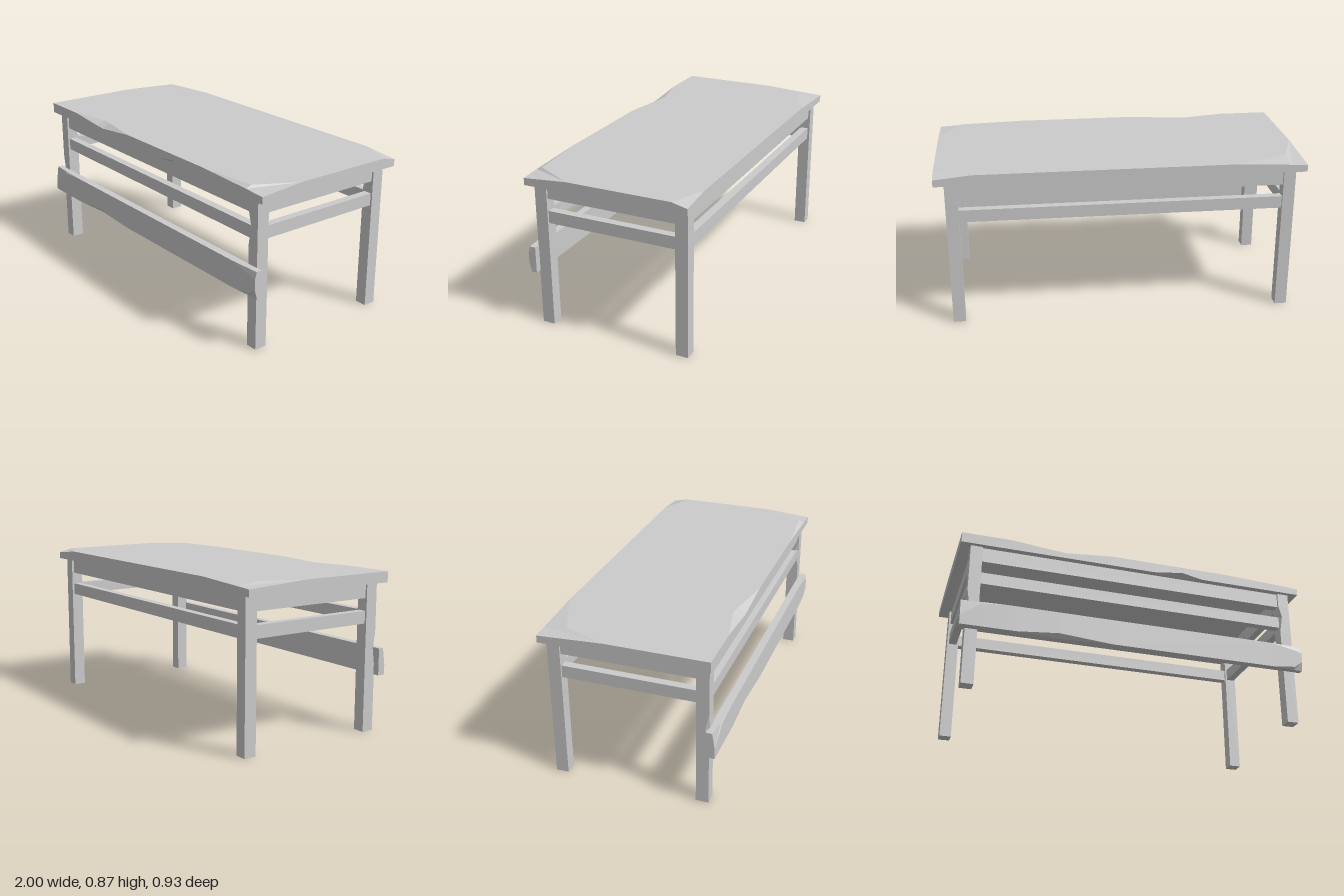
import * as THREE from 'three';

const material = new THREE.MeshStandardMaterial({ color: 0xcccccc, flatShading: true });

// Cut depths [across z, across y] of one edge at x, interpolated between its keys [x, dz, dy].
function cutAt(keys, x) {
  for (let i = 0; i + 1 < keys.length; i++) {
    const [a, b] = [keys[i], keys[i + 1]];
    if (x >= a[0] && x <= b[0]) {
      const t = (x - a[0]) / (b[0] - a[0]);
      return [a[1] + (b[1] - a[1]) * t, a[2] + (b[2] - a[2]) * t];
    }
  }
  return [0, 0];
}

// Beam along x whose long edges may be chipped; lofted from eight-sided sections.
function beam(name, [x0, x1], [y0, y1], [z0, z1], chips = {}) {
  const { topFront = [], bottomFront = [], topBack = [] } = chips;
  const keys = [...topFront, ...bottomFront, ...topBack].map(k => k[0]);
  const xs = [...new Set([x0, ...keys, x1])].sort((a, b) => a - b);
  const rings = xs.map(x => {
    const [tz, ty] = cutAt(topFront, x);
    const [bz, by] = cutAt(bottomFront, x);
    const [kz, ky] = cutAt(topBack, x);
    return [
      [x, y0, z0], [x, y1 - ky, z0], [x, y1, z0 + kz], [x, y1, z1 - tz],
      [x, y1 - ty, z1], [x, y0 + by, z1], [x, y0, z1 - bz],
    ];
  });
  const pos = [];
  const tri = (a, b, c) => {
    const [p, q, r] = [a, b, c].map(v => new THREE.Vector3(...v));
    if (q.sub(p).cross(r.sub(p)).length() > 1e-8) pos.push(...a, ...b, ...c);
  };
  const n = rings[0].length;
  for (let i = 0; i + 1 < rings.length; i++) {
    for (let j = 0; j < n; j++) {
      const k = (j + 1) % n, A = rings[i], B = rings[i + 1];
      tri(A[j], A[k], B[j]);
      tri(A[k], B[k], B[j]);
    }
  }
  // End caps
  const first = rings[0], last = rings[rings.length - 1];
  for (let j = 1; j + 1 < n; j++) {
    tri(first[0], first[j + 1], first[j]);
    tri(last[0], last[j], last[j + 1]);
  }
  const geo = new THREE.BufferGeometry();
  geo.setAttribute('position', new THREE.Float32BufferAttribute(pos, 3));
  geo.computeVertexNormals();
  const mesh = new THREE.Mesh(geo, material);
  mesh.name = name;
  return mesh;
}

export function createModel() {
  const table = new THREE.Group();
  table.name = 'table';

  // Worn tabletop
  table.add(beam('tabletop', [-1, 1], [0.812, 0.87], [-0.463, 0.447], {
    topFront: [[-0.72, 0, 0], [-0.48, 0.052, 0.022], [-0.42, 0.045, 0.027], [-0.15, 0, 0],
      [0.52, 0, 0], [0.88, 0.032, 0.013], [1, 0.25, 0.02]],
    bottomFront: [[0.1, 0, 0], [0.27, 0.04, 0.024], [0.39, 0, 0]],
    topBack: [[-1, 0.36, 0.02], [-0.91, 0.125, 0.015], [-0.62, 0, 0], [0.8, 0, 0], [1, 0.085, 0.02]],
  }));

  // Legs: upright beams, with the "top" edge of each turned towards -x
  const legChips = {
    'front 1': { topFront: [[0.56, 0, 0], [0.66, 0.025, 0.018], [0.73, 0, 0]] },
    'front -1': { topFront: [[0.36, 0, 0], [0.45, 0.02, 0.014], [0.54, 0, 0]] },
  };
  for (const [end, z] of [['front', [0.355, 0.424]], ['back', [-0.44, -0.371]]]) {
    for (const side of [1, -1]) {
      const leg = beam(end + (side > 0 ? 'LeftLeg' : 'RightLeg'),
        [0, 0.812], [-0.033, 0.033], z, legChips[`${end} ${side}`]);
      leg.rotation.z = Math.PI / 2;
      leg.position.x = side * 0.912;
      table.add(leg);
    }
  }

  // Aprons under the top and stretcher rails below them, on all four sides
  const t = 0.0225;
  for (const [part, y] of [['Apron', [0.728, 0.812]], ['Rail', [0.592, 0.66]]]) {
    for (const [end, z] of [['front', 0.39], ['back', -0.405]])
      table.add(beam(end + part, [-0.88, 0.88], y, [z - t, z + t]));
    for (const [side, x] of [['left', 0.912], ['right', -0.912]])
      table.add(beam(side + part, [x - t, x + t], y, [-0.371, 0.355]));
  }

  // Chipped plank fixed across the front legs
  table.add(beam('frontPlank', [-0.98, 0.98], [0.31, 0.457], [0.422, 0.465], {
    topFront: [[-0.98, 0.014, 0.09], [-0.86, 0.006, 0.012], [-0.72, 0, 0], [0.8, 0, 0], [0.98, 0.01, 0.038]],
    bottomFront: [[-0.68, 0, 0], [-0.45, 0.02, 0.023], [-0.15, 0, 0], [0.8, 0, 0],
      [0.93, 0.01, 0.015], [0.98, 0.015, 0.05]],
  }));
  return table;
}
